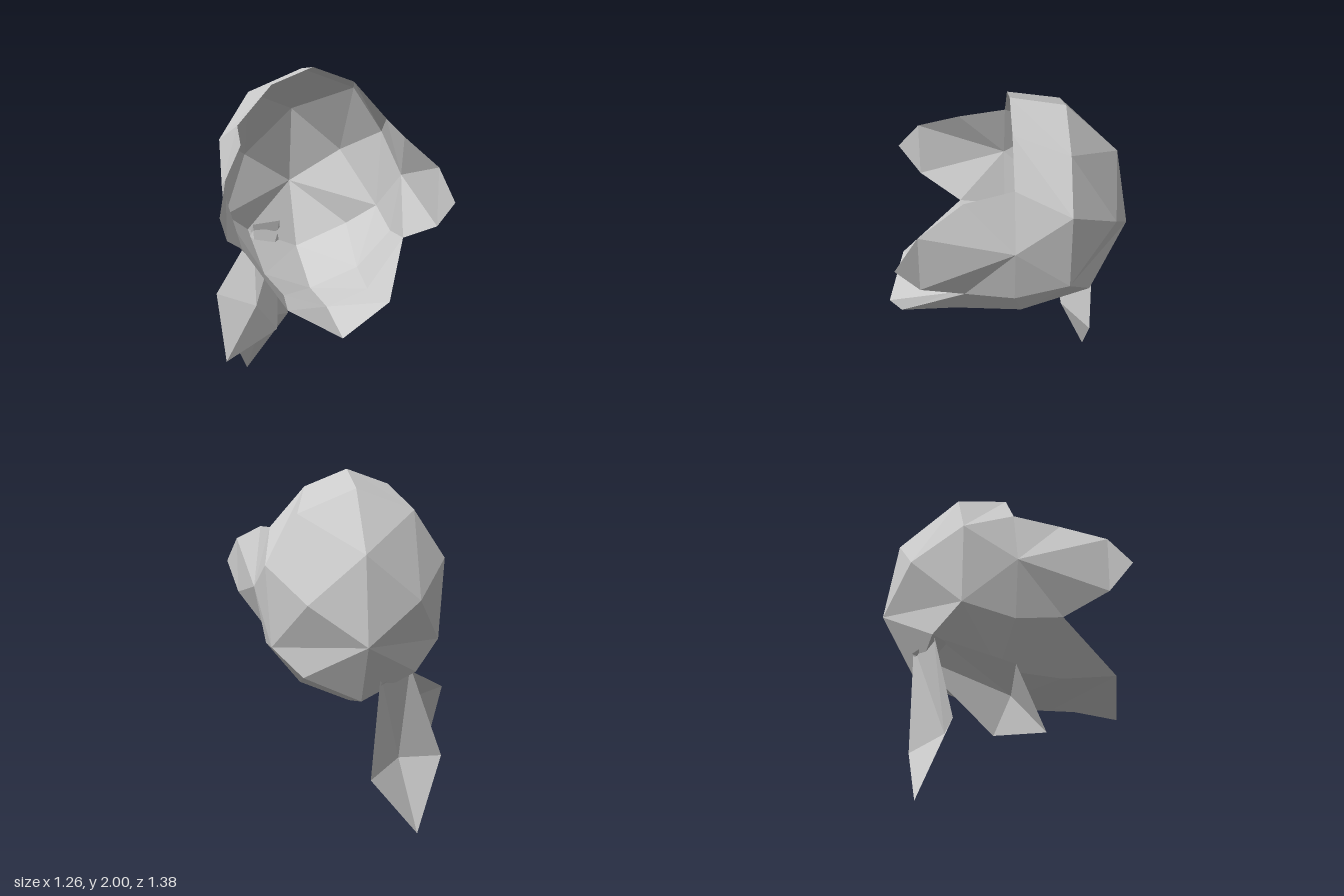
import * as THREE from 'three';

// Corner points of one half of the folded hood; the other half is mirrored.
const P = {
  // front rim and top band
  E0: [0, 2, -0.02], E2: [0.235, 1.91, -0.02], E: [0.43, 1.69, -0.02],
  H0: [0, 1.945, -0.32], H2: [0.315, 1.82, -0.32], H: [0.49, 1.55, -0.32],
  // back of the head
  P: [0, 1.655, -0.61], G: [0.3, 1.39, -0.58], Q: [0, 1.18, -0.69],
  // side centre and lower side
  C: [0.525, 1.355, -0.02], F: [0.46, 1.06, 0.25], L: [0.465, 1.02, -0.02], K: [0.465, 1.09, -0.32],
  // cheek flap
  D: [0.456, 1.64, 0.245], A: [0.577, 1.52, 0.485], T: [0.63, 1.355, 0.61], B: [0.577, 1.19, 0.485],
  // jaw
  V: [0.28, 0.82, 0.605], V0: [0, 0.67, 0.69], W: [0.24, 0.79, 0.3], W0: [0, 0.71, 0.32],
  X: [0.28, 0.79, -0.07], X0: [0, 0.67, -0.1], M: [0.31, 0.95, -0.45], N: [0, 0.81, -0.49],
};

// Each panel is a fan of corners around its first one.
const PARTS = {
  crown: ['E0 E2 H2 H0', 'E2 E H H2', 'E C H'],
  back: ['H0 H2 P', 'H2 H G', 'H2 G P', 'P G Q', 'G H K', 'C K H', 'G K Q', 'Q K M', 'Q M N'],
  cheekFlap: ['C E D', 'C D A', 'C A B', 'A T B', 'C B F'],
  jaw: ['C F L', 'C L K', 'F V W', 'F W X', 'F X L', 'L X K', 'K X M', 'M X N',
    'V V0 W0 W', 'W W0 X0 X', 'X X0 N'],
};

// Flat-shaded sheet from triangles, each turned to face away from a centre.
function sheet(triangles, centre) {
  const out = [];
  const n = new THREE.Vector3();
  const mid = new THREE.Vector3();
  for (const corners of triangles) {
    const t = new THREE.Triangle(...corners.map((c) => new THREE.Vector3(...c)));
    t.getNormal(n);
    t.getMidpoint(mid).sub(centre);
    const order = n.dot(mid) < 0 ? [t.a, t.c, t.b] : [t.a, t.b, t.c];
    for (const v of order) out.push(v.x, v.y, v.z);
  }
  const g = new THREE.BufferGeometry();
  g.setAttribute('position', new THREE.Float32BufferAttribute(out, 3));
  g.computeVertexNormals();
  return g;
}

function panels(list, side) {
  const tris = [];
  for (const panel of list) {
    const pts = panel.split(' ').map((k) => [P[k][0] * side, P[k][1], P[k][2]]);
    for (let i = 1; i < pts.length - 1; i++) tris.push([pts[0], pts[i], pts[i + 1]]);
  }
  return tris;
}

// Hanging cloth end: two top corners, two side corners, a ridge point and a tip.
function tail(topA, topB, sideA, ridge, sideB, tip) {
  return [
    [topA, sideA, ridge], [topA, ridge, topB], [topB, ridge, sideB],
    [sideA, tip, ridge], [ridge, tip, sideB],
  ];
}

export function createModel() {
  const root = new THREE.Group();
  root.name = 'headscarf';
  const cloth = new THREE.MeshStandardMaterial({ color: 0xcccccc, flatShading: true, side: THREE.DoubleSide });
  cloth.name = 'light grey cloth';

  const add = (name, triangles, centre) => {
    const mesh = new THREE.Mesh(sheet(triangles, centre), cloth);
    mesh.name = name;
    root.add(mesh);
  };

  // Hood shell
  const head = new THREE.Vector3(0, 1.35, -0.02);
  for (const [name, list] of Object.entries(PARTS)) {
    if (name === 'cheekFlap') {
      add('leftCheekFlap', panels(list, 1), head);
      add('rightCheekFlap', panels(list, -1), head);
    } else {
      add(name, [...panels(list, 1), ...panels(list, -1)], head);
    }
  }

  // Two loose ends hanging from the knot
  const behind = new THREE.Vector3(0, 0.5, -3);
  add('rearTail', tail(
    [-0.1, 0.97, -0.52], [-0.28, 0.98, -0.44],
    [-0.05, 0.35, -0.52], [-0.24, 0.405, -0.36], [-0.49, 0.4, -0.36], [-0.32, 0, -0.52],
  ), behind);
  add('frontTail', tail(
    [-0.1, 0.92, -0.53], [-0.28, 0.95, -0.42],
    [-0.205, 0.43, -0.085], [-0.34, 0.615, -0.02], [-0.568, 0.7, -0.045], [-0.543, 0.34, 0.12],
  ), behind);

  return root;
}
